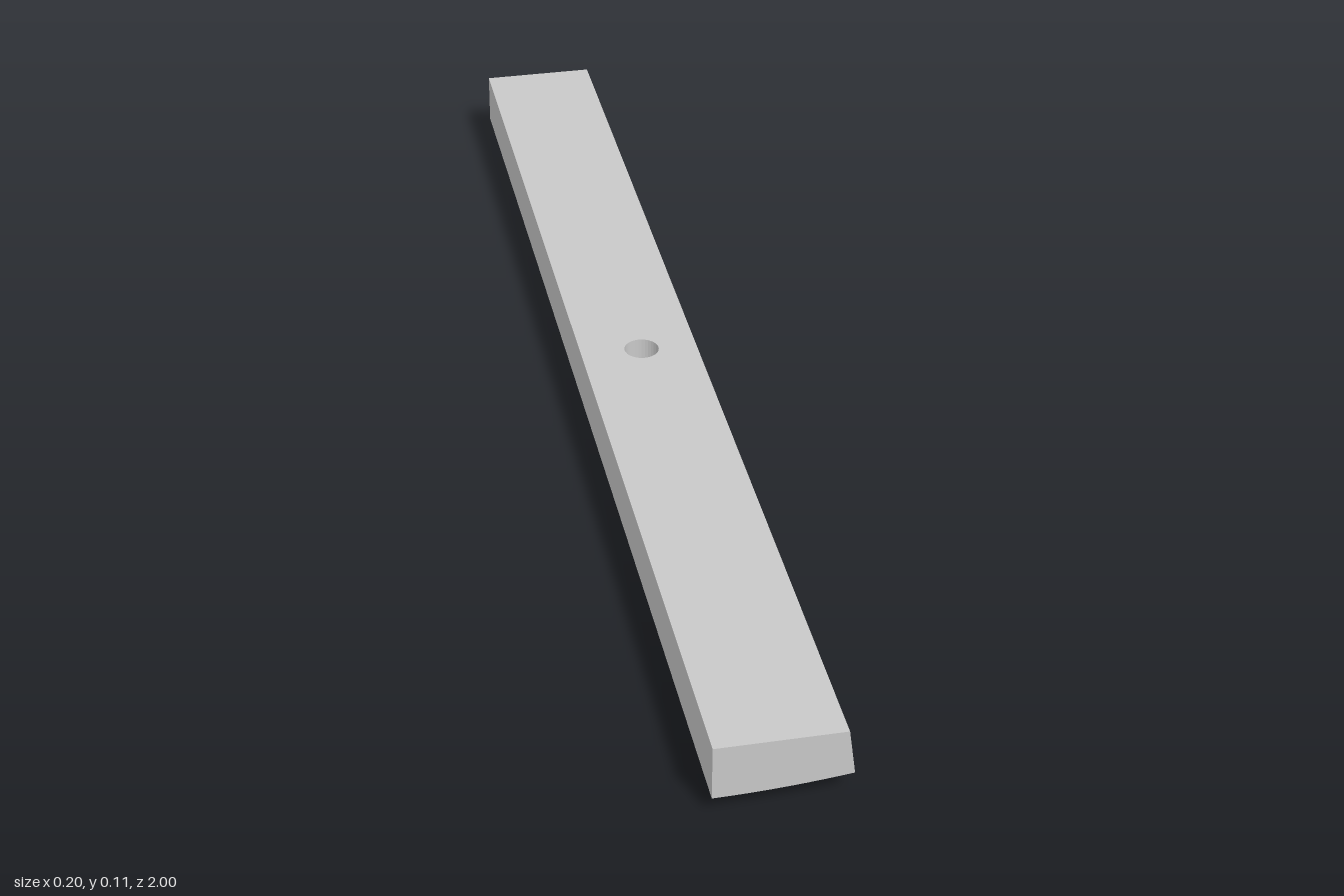
import * as THREE from 'three';

const TOP = 0.115, DEPTH = 0.028;
// height of the gently curved underside at x
const under = x => 0.0315 + 0.065 * x + 0.3 * x * x;

export function createModel() {
  const group = new THREE.Group();
  const grey = new THREE.MeshStandardMaterial({ color: 0xc8c8c8 });
  grey.name = 'lightGrey';

  const add = (geometry, name) => {
    const mesh = new THREE.Mesh(geometry, grey);
    mesh.name = name;
    group.add(mesh);
  };

  // extrude a plan outline (x, -z) upward, then bend every vertex by a rule
  const raise = (shape, rule) => {
    const g = new THREE.ExtrudeGeometry(shape, { depth: 1, bevelEnabled: false, curveSegments: 16 });
    g.rotateX(-Math.PI / 2);
    const p = g.attributes.position;
    for (let i = 0; i < p.count; i++) {
      const [x, y] = rule(p.getX(i), p.getY(i));
      p.setXY(i, x, y);
    }
    g.computeVertexNormals();
    return g;
  };
  const relief = (x, t) => [x, under(x) + (t > 0.5 ? 0.002 : -DEPTH)];

  // bar ends: cross-section with one slanted side and a curved underside
  const steps = 12;
  const section = new THREE.Shape();
  section.moveTo(-0.1, TOP);
  for (let i = 0; i <= steps; i++) {
    const x = -0.1 + 0.2 * i / steps;
    section.lineTo(x, under(x));
  }
  section.lineTo(0.09, TOP);
  section.closePath();
  for (const z of [-1, 0.1]) {
    const g = new THREE.ExtrudeGeometry(section, { depth: 0.9, bevelEnabled: false });
    g.translate(0, 0, z);
    add(g, z < 0 ? 'backBar' : 'frontBar');
  }

  // middle of the bar with the round through hole
  const plan = new THREE.Shape();
  plan.moveTo(-0.1, -0.1);
  for (let i = 1; i <= steps; i++) plan.lineTo(-0.1 + 0.2 * i / steps, -0.1);
  for (let i = 0; i <= steps; i++) plan.lineTo(0.1 - 0.2 * i / steps, 0.1);
  plan.closePath();
  plan.holes.push(new THREE.Path().absarc(0, 0, 0.028, 0, Math.PI * 2, true));
  add(raise(plan, (x, t) => t > 0.5 ? [x > 0.0999 ? 0.09 : x, TOP] : [x, under(x)]), 'middleBar');

  // raised rings under the bar
  const ring = (x, z, rx, rz, wall = 0.01) => {
    const s = new THREE.Shape().absellipse(x, -z, rx, rz, 0, Math.PI * 2, false, 0);
    s.holes.push(new THREE.Path().absellipse(x, -z, rx - wall, rz - wall, 0, Math.PI * 2, true, 0));
    add(raise(s, relief), 'raisedRing');
  };
  // raised straight ribs under the bar
  const rib = (x0, x1, z0, z1, name = 'raisedRib') => {
    const s = new THREE.Shape();
    const n = Math.max(1, Math.round((x1 - x0) / 0.02));
    for (let i = 0; i <= n; i++) {
      const x = x0 + (x1 - x0) * i / n;
      i ? s.lineTo(x, -z1) : s.moveTo(x, -z1);
    }
    for (let i = n; i >= 0; i--) s.lineTo(x0 + (x1 - x0) * i / n, -z0);
    s.closePath();
    add(raise(s, relief), name);
  };

  // pins near the front end
  for (const z of [0.9, 0.848]) rib(-0.074, -0.064, z - 0.007, z + 0.007, 'pin');

  // rings: x, z, half width, half length
  for (const [x, z, rx, rz] of [
    [-0.047, 0.622, 0.039, 0.037], [-0.05, 0.382, 0.034, 0.034],
    [-0.05, 0.132, 0.034, 0.034], [-0.05, -0.374, 0.037, 0.037],
    [-0.049, -0.618, 0.037, 0.04], [-0.05, -0.872, 0.034, 0.035],
  ]) ring(x, z, rx, rz);

  // long ribs with a pin beside the back end: z range
  for (const [z0, z1] of [[0.27, 0.495], [0.02, 0.165], [-0.665, -0.5], [-0.985, -0.84]]) {
    rib(-0.01, 0, z0 + 0.025, z1);
    rib(-0.01, 0.004, z0, z0 + 0.012, 'ribPin');
  }
  rib(0, 0.01, -0.39, -0.335);
  rib(-0.014, 0.004, -0.415, -0.403, 'ribPin');
  rib(-0.087, -0.05, 0.084, 0.094);

  // wide crosswise relief beside the hole
  rib(-0.087, 0.087, -0.168, -0.158, 'crossRib');
  ring(0.052, -0.12, 0.034, 0.034);
  for (const x of [-0.075, -0.035, 0.0]) rib(x, x + 0.02, -0.12, -0.11, 'crossPin');

  return group;
}
